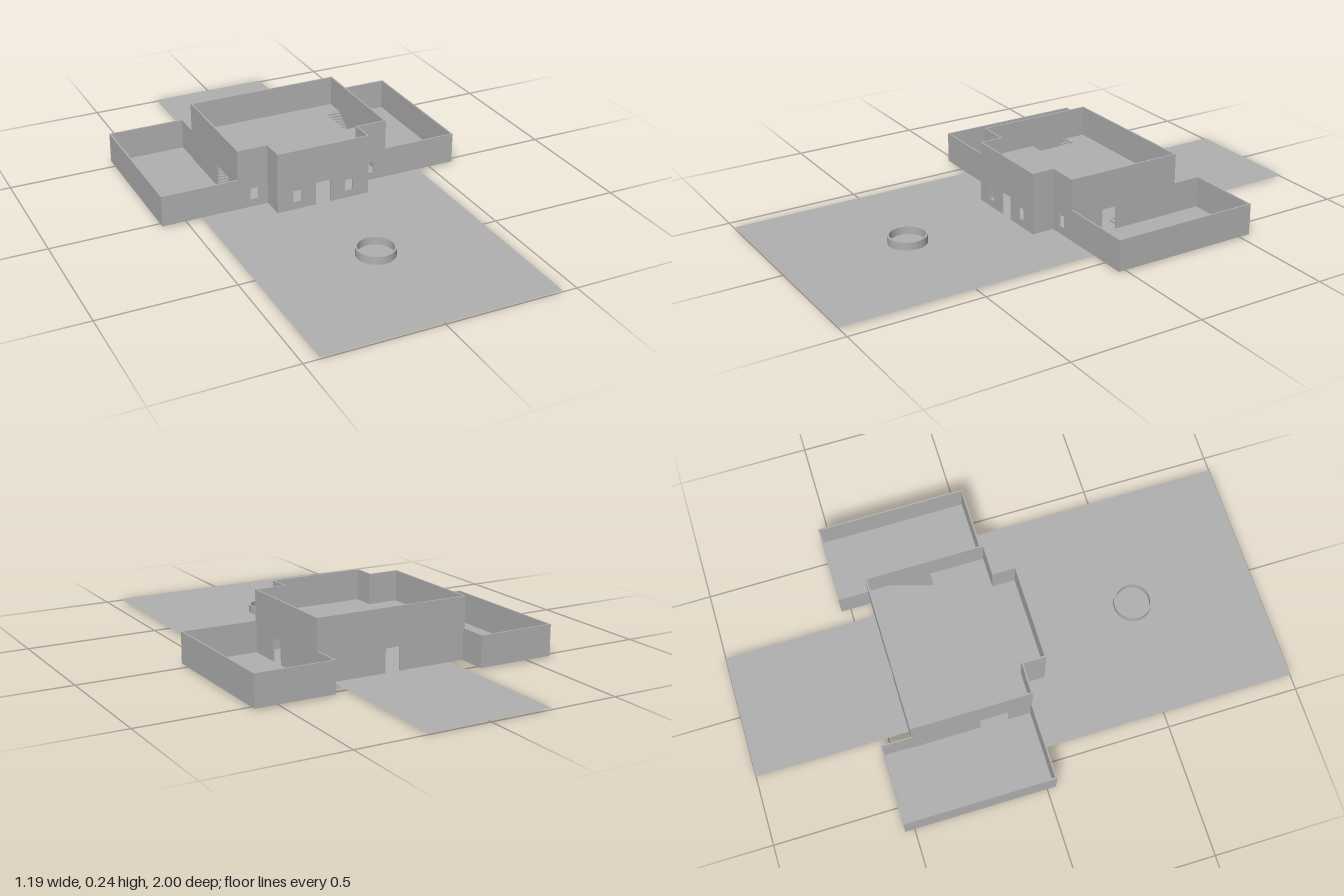
import * as THREE from 'three';

const FLOOR = 0.006, LOW = 0.124, HIGH = 0.24, T = 0.006;

export function createModel() {
  const model = new THREE.Group();
  model.name = 'courtyardBuilding';
  const grey = new THREE.MeshStandardMaterial({ color: 0xb0b0b0, side: THREE.DoubleSide });
  grey.name = 'plain grey';

  function add(geometry, name, parent = model) {
    const mesh = new THREE.Mesh(geometry, grey);
    mesh.name = name;
    parent.add(mesh);
    return mesh;
  }

  // Flat slab from [x, z] outline points, with optional rectangular holes
  function slab(name, points, y, holes = []) {
    const toPoints = list => list.map(([x, z]) => new THREE.Vector2(x, -z));
    const shape = new THREE.Shape(toPoints(points));
    for (const h of holes) shape.holes.push(new THREE.Path(toPoints(h)));
    const mesh = add(new THREE.ShapeGeometry(shape).rotateX(-Math.PI / 2), name);
    mesh.position.y = y;
  }
  const rect = (x0, x1, z0, z1) => [[x0, z0], [x0, z1], [x1, z1], [x1, z0]];

  // Upright wall between two plan points; doors and windows are measured along it
  function wall(name, [x0, z0], [x1, z1], top, { doors = [], windows = [] } = {}) {
    const length = Math.hypot(x1 - x0, z1 - z0), e = T / 2;
    const shape = new THREE.Shape();
    shape.moveTo(-e, FLOOR);
    for (const [centre, width] of doors) {
      shape.lineTo(centre - width / 2, FLOOR);
      shape.lineTo(centre - width / 2, 0.095);
      shape.lineTo(centre + width / 2, 0.095);
      shape.lineTo(centre + width / 2, FLOOR);
    }
    shape.lineTo(length + e, FLOOR);
    shape.lineTo(length + e, top);
    shape.lineTo(-e, top);
    shape.closePath();
    for (const c of windows) {
      const hole = new THREE.Path();
      hole.moveTo(c - 0.016, 0.036);
      hole.lineTo(c - 0.016, 0.08);
      hole.lineTo(c + 0.016, 0.08);
      hole.lineTo(c + 0.016, 0.036);
      hole.closePath();
      shape.holes.push(hole);
    }
    const geometry = new THREE.ExtrudeGeometry(shape, { depth: T, bevelEnabled: false });
    geometry.translate(0, 0, -T / 2);
    const mesh = add(geometry, name);
    mesh.position.set(x0, 0, z0);
    mesh.rotation.y = -Math.atan2(z1 - z0, x1 - x0);
  }

  // Ground: forecourt, building floor and rear path
  slab('forecourt', rect(-0.443, 0.443, 0.03, 1), FLOOR);
  slab('buildingFloor', rect(-0.297, 0.297, -0.42, 0.03), FLOOR);
  slab('rearPath', rect(-0.238, 0.238, -1, -0.42), FLOOR);

  // Main block: front bay, front and rear walls
  const X = 0.297, B = 0.18, back = -0.418, front = 0.03, bay = 0.117;
  wall('bayFrontWall', [-B, bay], [B, bay], HIGH,
    { doors: [[B, 0.06]], windows: [B - 0.104, B + 0.104] });
  wall('rearWall', [-X, back], [X, back], HIGH, { doors: [[X, 0.058]] });

  // Upper floor with an opening over each stair
  const hole = s => rect(s * 0.237, s * 0.294, -0.34, -0.18);
  slab('upperFloor', [[-X, back], [-X, front], [-B, front], [-B, bay],
    [B, bay], [B, front], [X, front], [X, back]], LOW, [hole(1), hole(-1)]);

  for (const s of [1, -1]) {
    const side = s > 0 ? 'left' : 'right';
    wall(side + 'BaySideWall', [s * B, bay], [s * B, front], HIGH);
    wall(side + 'FrontWall', [s * B, front], [s * X, front], HIGH, { windows: [0.056] });
    wall(side + 'MainSideWall', [s * X, front], [s * X, back], HIGH,
      { doors: [s > 0 ? [0.16, 0.06] : [0.14, 0.11]] });

    // Low walled wing beside the main block
    const O = 0.59, I = 0.295, rear = -0.533;
    slab(side + 'WingFloor', rect(s * I, s * O, rear, front), FLOOR);
    wall(side + 'WingFrontWall', [s * X, front], [s * O, front], LOW);
    wall(side + 'WingOuterWall', [s * O, front], [s * O, rear], LOW);
    wall(side + 'WingRearWall', [s * O, rear], [s * I, rear], LOW);
    wall(side + 'WingInnerWall', [s * I, rear], [s * I, back], LOW);

    // Stair rising towards the rear
    const stair = new THREE.Group();
    stair.name = side + 'Stair';
    model.add(stair);
    const steps = 16, run = 0.16 / steps, rise = (LOW - FLOOR) / steps;
    for (let i = 0; i < steps; i++) {
      const h = rise * (i + 1) - 0.0005;
      const step = add(new THREE.BoxGeometry(0.057, h, run), 'step', stair);
      step.position.set(s * 0.2655, FLOOR + h / 2, -0.18 - run * (i + 0.5));
    }
  }

  // Sunken sills beside the wide side doorway
  for (const [z, length] of [[0.005, 0.05], [-0.217, 0.07]]) {
    const sill = add(new THREE.BoxGeometry(0.012, FLOOR, length), 'sunkenSill');
    sill.position.set(-0.3, FLOOR / 2, z);
  }

  // Round basin rim in the forecourt
  const ring = new THREE.Shape();
  ring.absarc(0, 0, 0.072, 0, Math.PI * 2);
  const inner = new THREE.Path();
  inner.absarc(0, 0, 0.065, 0, Math.PI * 2, true);
  ring.holes.push(inner);
  const basin = add(new THREE.ExtrudeGeometry(ring,
    { depth: 0.03, bevelEnabled: false, curveSegments: 24 }).rotateX(-Math.PI / 2), 'basinRim');
  basin.position.set(0, FLOOR, 0.528);

  return model;
}
